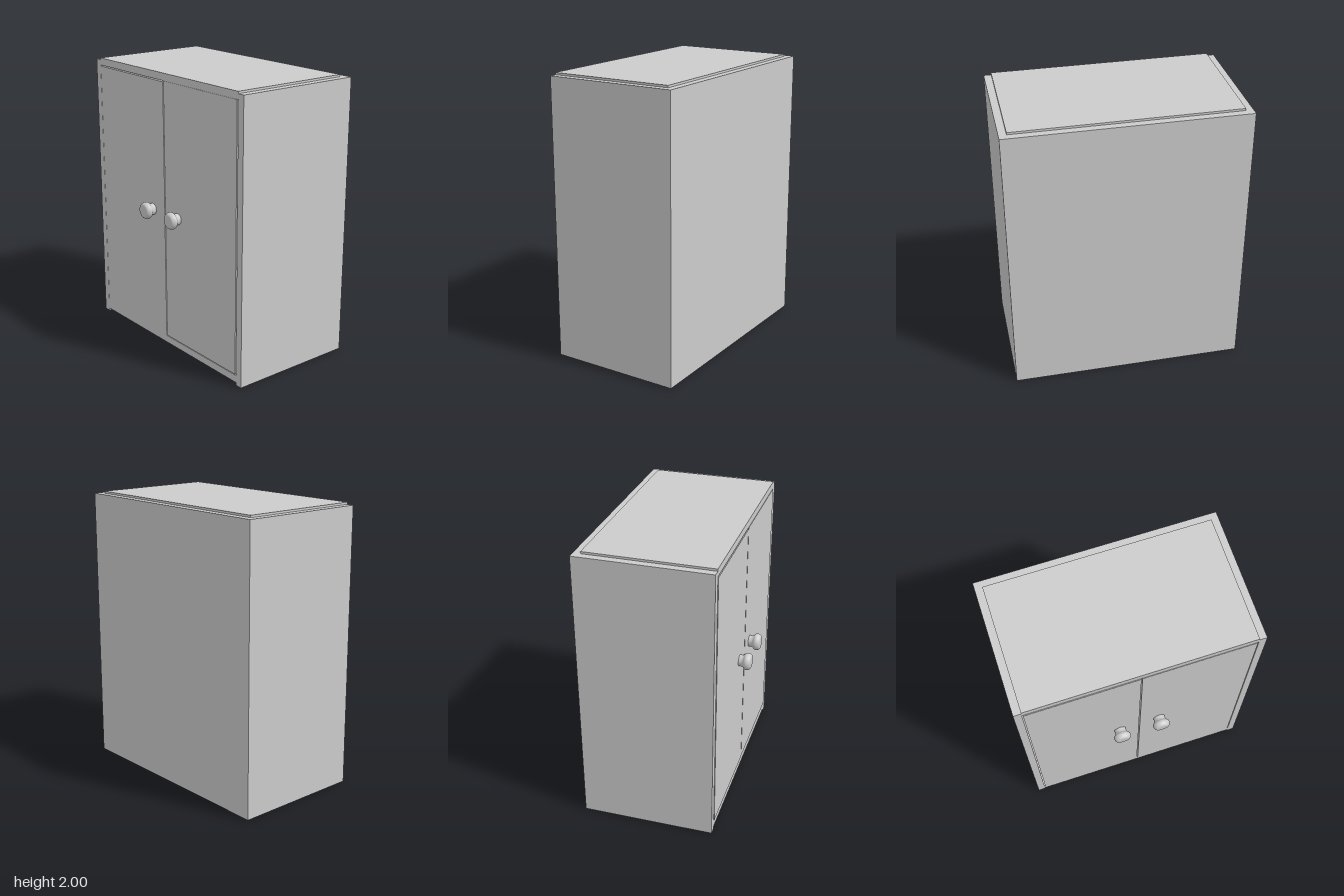
import * as THREE from 'three';

const material = new THREE.MeshStandardMaterial({ color: 0xcccccc });

// Box given by its lower and upper corners
function box(name, [x0, y0, z0], [x1, y1, z1]) {
  const mesh = new THREE.Mesh(new THREE.BoxGeometry(x1 - x0, y1 - y0, z1 - z0), material);
  mesh.name = name;
  mesh.position.set((x0 + x1) / 2, (y0 + y1) / 2, (z0 + z1) / 2);
  return mesh;
}

export function createModel() {
  const cabinet = new THREE.Group();
  cabinet.name = 'cabinet';
  const W = 0.825, inner = 0.773, back = -0.512, innerBack = -0.46, front = 0.422;

  // Side walls and back as one U-shaped shell (plan drawn as x, -z)
  const plan = new THREE.Shape([
    [-W, -front], [-inner, -front], [-inner, -innerBack], [inner, -innerBack],
    [inner, -front], [W, -front], [W, -back], [-W, -back],
  ].map(([x, y]) => new THREE.Vector2(x, y)));
  const shell = new THREE.Mesh(
    new THREE.ExtrudeGeometry(plan, { depth: 1.985, bevelEnabled: false }), material);
  shell.rotation.x = -Math.PI / 2;
  shell.name = 'sidesAndBack';
  cabinet.add(shell);

  // Raised top and recessed floor
  cabinet.add(box('topPanel', [-inner, 1.948, innerBack], [inner, 2, front]));
  cabinet.add(box('bottomPanel', [-inner, 0.02, innerBack], [inner, 0.072, front]));

  // Doors with narrow gaps; they stand slightly proud of the frame
  const gap = 0.007, doorFront = front + 0.003, doorBack = 0.37;
  cabinet.add(box('rightDoor', [-inner + gap, 0.072, doorBack], [-0.004, 1.948 - gap, doorFront]));
  cabinet.add(box('leftDoor', [0.004, 0.072 + gap, doorBack], [inner - gap, 1.948, doorFront]));

  // Turned knobs: neck, flare and softly rounded face
  const curve = new THREE.SplineCurve([
    [0.041, 0.018], [0.045, 0.032], [0.057, 0.044], [0.061, 0.056], [0.058, 0.07],
    [0.05, 0.082], [0.038, 0.087], [0, 0.088],
  ].map(([r, h]) => new THREE.Vector2(r, h)));
  const profile = [new THREE.Vector2(0.041, 0), ...curve.getPoints(24)];
  profile[profile.length - 1].x = 0;
  const knobGeometry = new THREE.LatheGeometry(profile, 32);
  for (const side of [-1, 1]) {
    const knob = new THREE.Mesh(knobGeometry, material);
    knob.name = side < 0 ? 'rightKnob' : 'leftKnob';
    knob.rotation.x = Math.PI / 2;
    knob.position.set(side * 0.145, 1.01, front + 0.002);
    cabinet.add(knob);
  }
  return cabinet;
}
